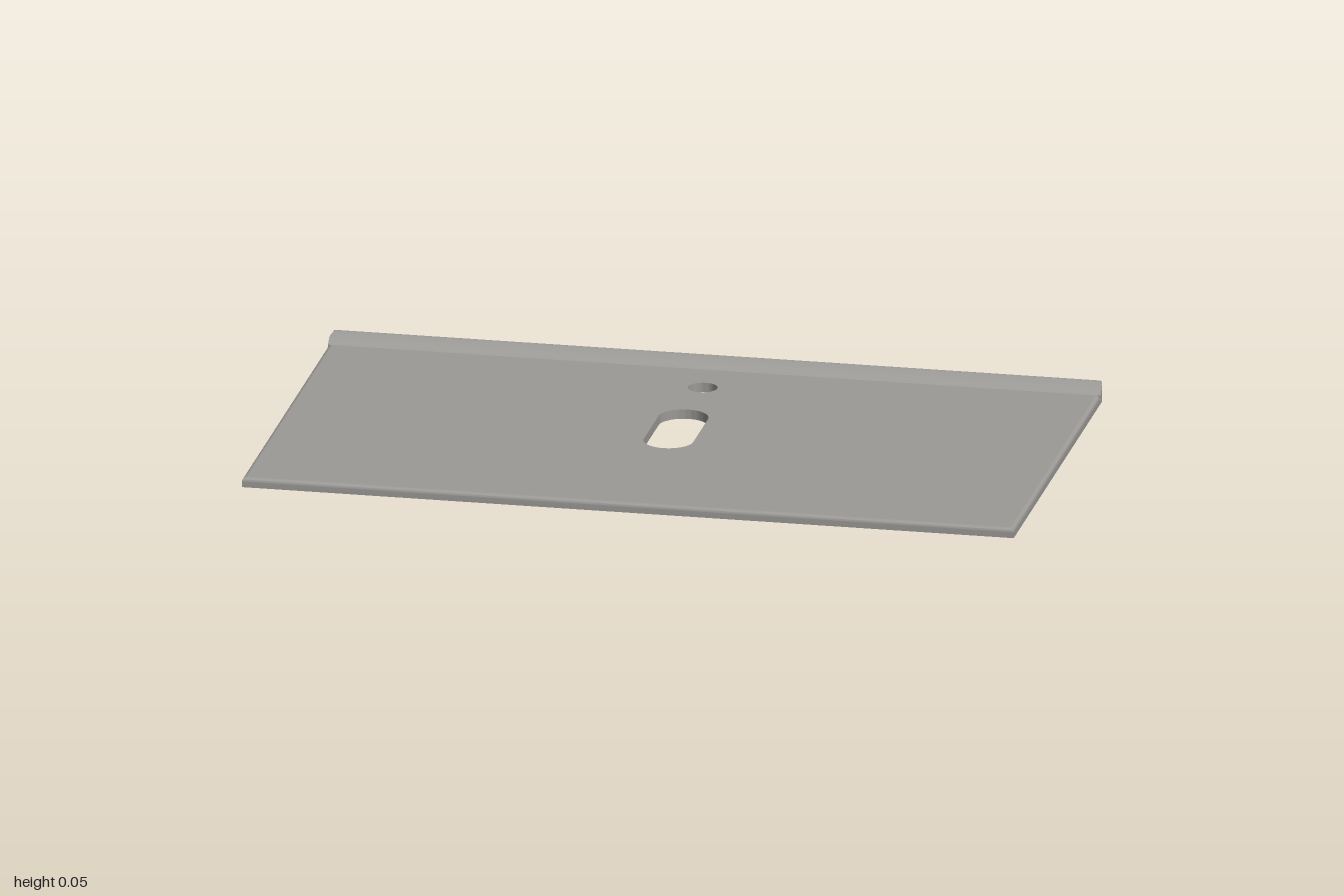
import * as THREE from 'three';
import { toCreasedNormals } from 'three/addons/utils/BufferGeometryUtils.js';

const W = 1, FRONT = 0.563, BACK = -0.515, T = 0.025, R = 0.01;

export function createModel() {
  const group = new THREE.Group();
  const steel = new THREE.MeshStandardMaterial({ color: 0x9c9a97 });
  steel.name = 'grey steel';

  const add = (name, geometry) => {
    const mesh = new THREE.Mesh(toCreasedNormals(geometry, 0.6), steel);
    mesh.name = name;
    group.add(mesh);
  };

  // Moves every vertex by a rule
  const reshape = (geometry, rule) => {
    const p = geometry.attributes.position, v = new THREE.Vector3();
    for (let i = 0; i < p.count; i++) {
      rule(v.fromBufferAttribute(p, i));
      p.setXYZ(i, v.x, v.y, v.z);
    }
    return geometry;
  };

  // Flat plate, drawn with shape y = -z, pierced by a slot and a round hole
  const plate = new THREE.Shape();
  plate.moveTo(-W + R, -FRONT + R);
  plate.lineTo(W - R, -FRONT + R);
  plate.lineTo(W - R, -BACK);
  plate.lineTo(-W + R, -BACK);
  plate.closePath();

  const slot = new THREE.Path();
  slot.absarc(0, 0.132, 0.064, 0, Math.PI, false);
  slot.absarc(0, -0.052, 0.064, Math.PI, Math.PI * 2, false);
  slot.closePath();
  const hole = new THREE.Path();
  hole.absarc(0, 0.375, 0.038, 0, Math.PI * 2, false);
  plate.holes.push(slot, hole);

  add('plate', new THREE.ExtrudeGeometry(plate, { depth: T, bevelEnabled: false, curveSegments: 20 })
    .rotateX(-Math.PI / 2));

  // Edge strip profile: outer face at x = 0, rounded along the top
  const edge = new THREE.Shape();
  edge.moveTo(-R, 0);
  edge.lineTo(0, 0);
  edge.lineTo(0, T - R);
  edge.absarc(-R, T - R, R, 0, Math.PI / 2, false);
  edge.closePath();
  const strip = (length) => new THREE.ExtrudeGeometry(edge, { depth: length, bevelEnabled: false, curveSegments: 5 });

  // Front edge, mitred at both corners
  add('frontEdge', reshape(strip(2 * W).translate(0, 0, -W).rotateY(-Math.PI / 2), (v) => {
    v.x = Math.sign(v.x) * (W - (FRONT - (v.z += FRONT)));
  }));

  // Side edges, mitred at the front corner
  const sideLength = FRONT - BACK;
  add('leftEdge', reshape(strip(sideLength).translate(W, 0, BACK), (v) => {
    if (v.z > 0) v.z = FRONT - (W - v.x);
  }));
  add('rightEdge', reshape(strip(sideLength).rotateY(Math.PI).translate(-W, 0, FRONT), (v) => {
    if (v.z > 0) v.z = FRONT - (W + v.x);
  }));

  // Upturned back lip: profile x = -z, with softened upper ends
  const lip = new THREE.Shape();
  lip.moveTo(-BACK, 0);
  lip.lineTo(0.54, 0);
  lip.lineTo(0.563, 0.046);
  lip.quadraticCurveTo(0.565, 0.05, 0.56, 0.05);
  lip.quadraticCurveTo(0.532, 0.046, -BACK, T);
  lip.closePath();
  add('backLip', reshape(
    new THREE.ExtrudeGeometry(lip, { depth: 2 * W, bevelEnabled: false, curveSegments: 8 })
      .translate(0, 0, -W).rotateY(Math.PI / 2),
    (v) => {
      // the profile runs along -z after this turn
      v.x = Math.sign(v.x) * (W - Math.max(0, v.y - 0.042));
    }));

  return group;
}
